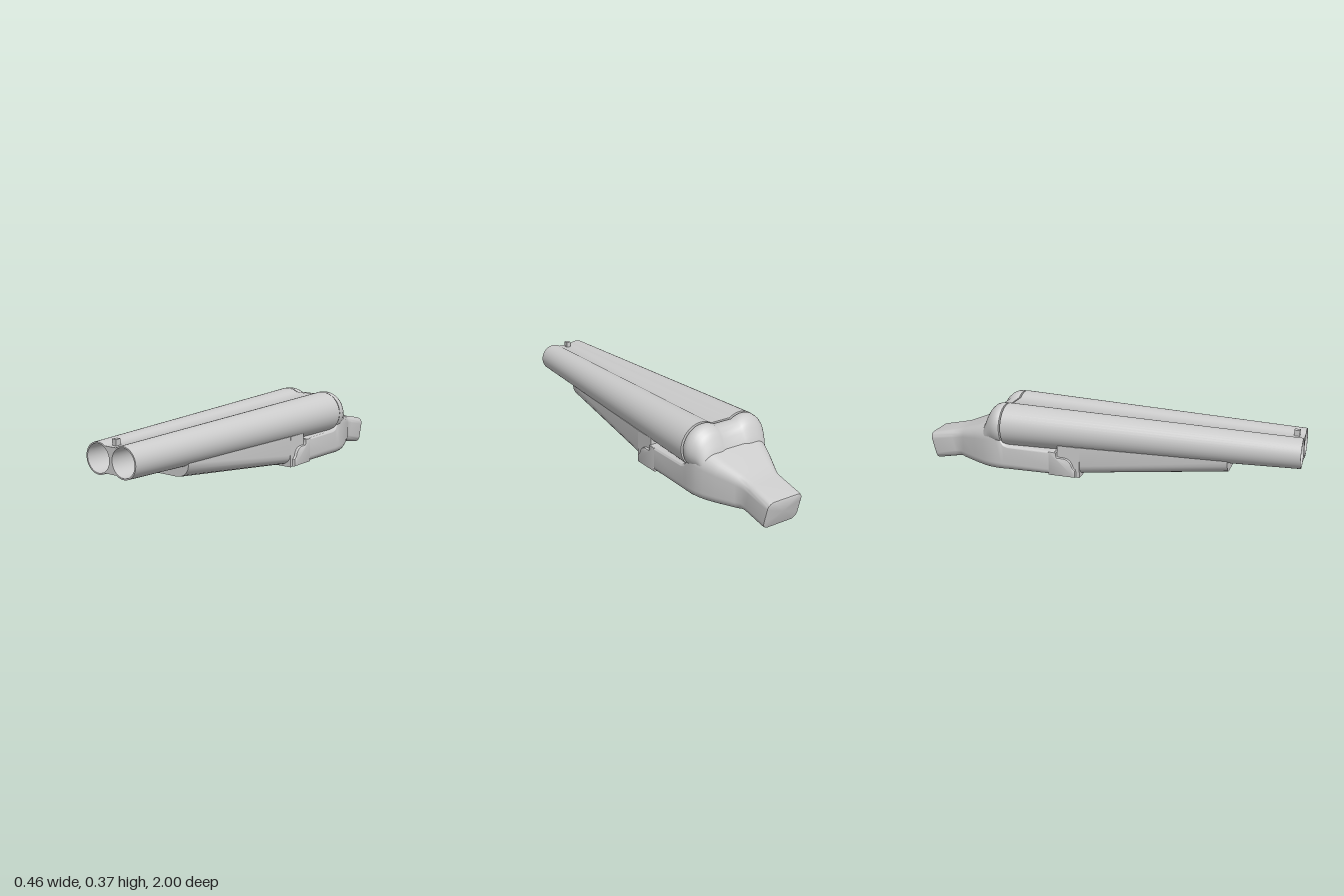
import * as THREE from 'three';
import { toCreasedNormals } from 'three/addons/utils/BufferGeometryUtils.js';

const material = new THREE.MeshStandardMaterial({ color: 0xcccccc });
const openMaterial = new THREE.MeshStandardMaterial({ color: 0xcccccc, side: THREE.DoubleSide });

// Skin over equal-length rings, ordered front to back, each counter-clockwise seen from +z
function loft(rings, { front = true, back = true, crease = 0.6 } = {}) {
  const n = rings[0].length;
  const pos = [], idx = [];
  rings.forEach(r => r.forEach(p => pos.push(p.x, p.y, p.z)));
  for (let i = 0; i < rings.length - 1; i++) {
    for (let j = 0; j < n; j++) {
      const a = i * n + j, b = i * n + (j + 1) % n;
      idx.push(a, a + n, b, b, a + n, b + n);
    }
  }
  const cap = (i, flip) => {
    const c = new THREE.Vector3();
    rings[i].forEach(p => c.add(p));
    c.divideScalar(n);
    const k = pos.length / 3;
    pos.push(c.x, c.y, c.z);
    for (let j = 0; j < n; j++) {
      const a = i * n + j, b = i * n + (j + 1) % n;
      idx.push(k, flip ? b : a, flip ? a : b);
    }
  };
  if (front) cap(0, false);
  if (back) cap(rings.length - 1, true);
  const g = new THREE.BufferGeometry();
  g.setAttribute('position', new THREE.Float32BufferAttribute(pos, 3));
  g.setIndex(idx);
  return toCreasedNormals(g, crease);
}

// Two circles joined by a flat web
function twinRing(z, cx, r, cy, top, bottom, n = 28) {
  const a0 = -Math.PI + Math.asin((cy - bottom) / r);
  const a1 = Math.PI - Math.asin((top - cy) / r);
  const half = [];
  for (let i = 0; i <= n; i++) {
    const a = a0 + (a1 - a0) * i / n;
    half.push(new THREE.Vector3(cx + r * Math.cos(a), cy + r * Math.sin(a), z));
  }
  const other = half.map(p => new THREE.Vector3(-p.x, p.y, z)).reverse();
  return [...half, ...other];
}

// Rounded rectangle, optionally leaning between a top z and a bottom z
function roundRing(zTop, zBottom, w, bottom, top, rTop, rBottom, n = 7) {
  const ring = [];
  const corners = [[1, -1, rBottom], [1, 1, rTop], [-1, 1, rTop], [-1, -1, rBottom]];
  corners.forEach(([sx, sy, r], k) => {
    for (let i = 0; i <= n; i++) {
      const a = (k - 1 + i / n) * Math.PI / 2;
      const x = sx * (w - r) + r * Math.cos(a);
      const y = (sy > 0 ? top - r : bottom + r) + r * Math.sin(a);
      const z = THREE.MathUtils.lerp(zBottom, zTop, (y - bottom) / (top - bottom));
      ring.push(new THREE.Vector3(x, y, z));
    }
  });
  return ring;
}

export function createModel() {
  const model = new THREE.Group();
  const add = (name, geometry, mat = material) => {
    const mesh = new THREE.Mesh(geometry, mat);
    mesh.name = name;
    model.add(mesh);
    return mesh;
  };
  const box = (name, w, y0, y1, z0, z1) =>
    add(name, new THREE.BoxGeometry(w, y1 - y0, z1 - z0)).position.set(0, (y0 + y1) / 2, (z0 + z1) / 2);

  // Tapering twin barrels
  const muzzle = twinRing(1, 0.0765, 0.075, 0.26, 0.322, 0.198);
  const breech = twinRing(-0.52, 0.116, 0.112, 0.261, 0.355, 0.163);
  add('barrels', loft([muzzle, breech], { front: false }));

  // Muzzle face with two bore holes
  const face = new THREE.Shape(muzzle.map(p => new THREE.Vector2(p.x, p.y)));
  const boreX = 0.0765, boreR = 0.068;
  for (const s of [-1, 1]) {
    face.holes.push(new THREE.Path().absarc(s * boreX, 0.26, boreR, 0, Math.PI * 2, true));
  }
  add('muzzleFace', new THREE.ShapeGeometry(face, 20)).position.z = 1;

  // Bores, closed at the breech
  for (const s of [-1, 1]) {
    const bore = new THREE.CylinderGeometry(boreR, 0.062, 1.5, 40, 1, true).rotateX(Math.PI / 2);
    add('bore', bore, openMaterial).position.set(s * boreX, 0.26, 0.25);
    add('boreEnd', new THREE.CircleGeometry(0.062, 40)).position.set(s * boreX, 0.26, -0.5);
  }

  box('frontSight', 0.024, 0.315, 0.352, 0.947, 0.975);

  // Wooden fore-end: flat belly with rolled-up sides
  const foreRing = (z, w, bottom, top, side, flat) => {
    const half = [
      new THREE.Vector3(flat, bottom, z),
      ...[0.2, 0.4, 0.6, 0.8, 1].map(t => {
        const a = t * Math.PI / 2;
        return new THREE.Vector3(flat + (w - flat) * Math.sin(a), bottom + (side - bottom) * (1 - Math.cos(a)), z);
      }),
      new THREE.Vector3(w, top, z),
    ];
    return [...half, ...half.map(p => new THREE.Vector3(-p.x, p.y, z)).reverse()];
  };
  add('foreEnd', loft([
    foreRing(0.65, 0.142, 0.126, 0.2, 0.193, 0.07),
    foreRing(-0.1, 0.19, 0.045, 0.2, 0.1, 0.12),
  ]));
  box('foreEndIron', 0.384, 0.037, 0.2, -0.22, -0.1);

  // Rounded hinge knuckle, wider than the iron
  const k = new THREE.Shape();
  k.moveTo(0.125, 0.045);
  k.lineTo(0.125, 0.075);
  k.quadraticCurveTo(0.14, 0.085, 0.143, 0.1);
  k.quadraticCurveTo(0.155, 0.132, 0.19, 0.132);
  k.lineTo(0.218, 0.132);
  k.quadraticCurveTo(0.228, 0.135, 0.226, 0.16);
  k.lineTo(0.26, 0.162);
  k.lineTo(0.26, 0.045);
  k.closePath();
  const knuckle = new THREE.ExtrudeGeometry(k, {
    depth: 0.4, bevelSize: 0.006, bevelThickness: 0.008, bevelSegments: 2, curveSegments: 8,
  });
  knuckle.translate(0, 0, -0.2).rotateY(Math.PI / 2);
  add('hingeKnuckle', toCreasedNormals(knuckle, 0.6));

  // Receiver running back into the cut-off grip:
  // zTop, zBottom, half width, bottom, top, top radius, bottom radius
  add('receiverAndGrip', loft([
    [-0.23, -0.23, 0.207, 0.037, 0.168, 0.012, 0.035],
    [-0.49, -0.49, 0.208, 0.032, 0.172, 0.012, 0.04],
    [-0.515, -0.515, 0.208, 0.031, 0.182, 0.015, 0.04],
    [-0.53, -0.53, 0.208, 0.03, 0.21, 0.03, 0.042],
    [-0.56, -0.56, 0.208, 0.029, 0.275, 0.07, 0.044],
    [-0.6, -0.6, 0.202, 0.028, 0.276, 0.08, 0.045],
    [-0.64, -0.64, 0.19, 0.028, 0.262, 0.075, 0.045],
    [-0.7, -0.7, 0.165, 0.029, 0.237, 0.06, 0.045],
    [-0.79, -0.79, 0.122, 0.032, 0.203, 0.045, 0.042],
    [-0.83, -0.81, 0.107, 0.034, 0.188, 0.04, 0.04],
    [-0.87, -0.84, 0.104, 0.031, 0.178, 0.036, 0.036],
    [-0.985, -0.95, 0.103, 0.009, 0.152, 0.034, 0.034],
    [-0.997, -0.962, 0.099, 0.007, 0.148, 0.032, 0.032],
    [-1, -0.966, 0.09, 0.014, 0.14, 0.028, 0.028],
  ].map(v => roundRing(...v)), { crease: 0.75 }));

  // Twin-lobed standing breech: z, lobe offset, radius, height
  add('standingBreech', loft([
    [-0.53, 0.115, 0.109, 0.261],
    [-0.536, 0.115, 0.112, 0.261],
    [-0.56, 0.114, 0.111, 0.259],
    [-0.58, 0.11, 0.107, 0.255],
    [-0.6, 0.106, 0.1, 0.244],
    [-0.615, 0.104, 0.094, 0.228],
    [-0.63, 0.102, 0.088, 0.202],
    [-0.65, 0.1, 0.08, 0.17],
  ].map(([z, cx, r, cy]) => twinRing(z, cx, r, cy, cy + 0.84 * r, cy - 0.87 * r)), { crease: 0.8 }));

  return model;
}
